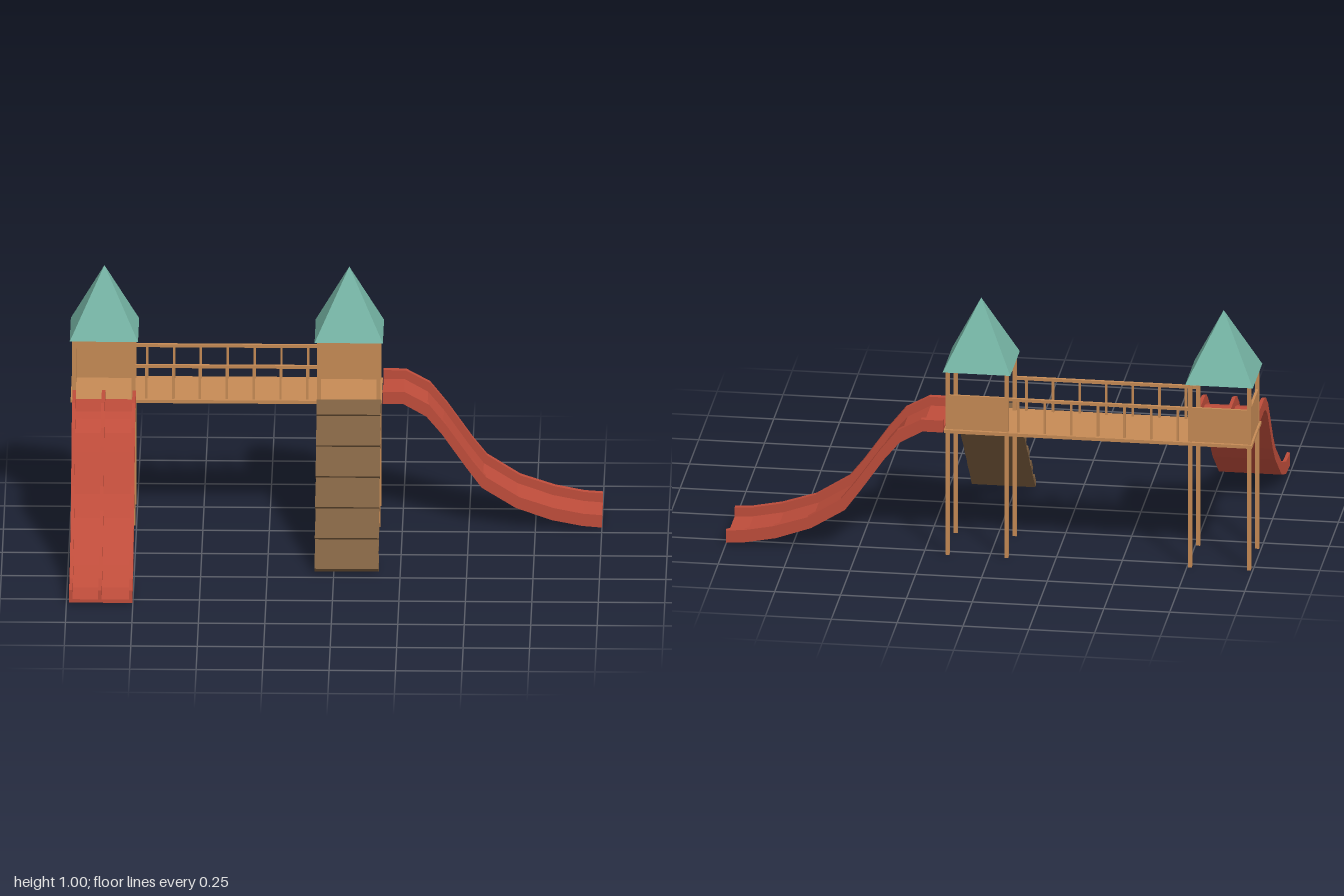
import * as THREE from 'three';

const mat = (name, color, side = THREE.FrontSide) => {
  const m = new THREE.MeshStandardMaterial({ color, side });
  m.name = name;
  return m;
};

export function createModel() {
  const wood = mat('warm wood', 0xc68b55);
  const brown = mat('dark wood', 0x7d5f40);
  const red = mat('red plastic', 0xbf4d3b);
  const green = mat('roof green', 0x76b5a5);

  const model = new THREE.Group();
  model.name = 'playground';

  const add = (parent, name, geometry, material, x = 0, y = 0, z = 0) => {
    const mesh = new THREE.Mesh(geometry, material);
    mesh.name = name;
    mesh.position.set(x, y, z);
    parent.add(mesh);
    return mesh;
  };
  const box = (parent, name, m, w, h, d, x, y, z) =>
    add(parent, name, new THREE.BoxGeometry(w, h, d), m, x, y, z);
  const group = (name, x = 0, y = 0, z = 0) => {
    const g = new THREE.Group();
    g.name = name;
    g.position.set(x, y, z);
    model.add(g);
    return g;
  };

  const towerX = [-0.873, 0.048], midZ = -0.4165;
  const floorTop = 0.508, eaves = 0.74, post = 0.112, wallTop = 0.645;

  // Continuous deck under both towers and the bridge
  box(model, 'deck', wood, 1.17, 0.013, 0.257, -0.413, floorTop - 0.0065, midZ);

  // Towers: four posts, arched front board, back wall and pyramid roof
  const arch = new THREE.Shape();
  arch.moveTo(-post, eaves);
  arch.lineTo(-post, 0.705);
  arch.quadraticCurveTo(0, 0.75, post, 0.705);
  arch.lineTo(post, eaves);
  const archGeometry = new THREE.ExtrudeGeometry(arch, { depth: 0.01, bevelEnabled: false, curveSegments: 10 });
  const roofGeometry = new THREE.ConeGeometry(0.1285 * Math.SQRT2, 1 - eaves, 4, 1).toNonIndexed();
  roofGeometry.rotateY(Math.PI / 4);
  roofGeometry.computeVertexNormals();

  towerX.forEach((x, i) => {
    const tower = group(i ? 'slideAndRampTower' : 'doubleSlideTower', x, 0, midZ);
    for (const sx of [-1, 1]) for (const sz of [-1, 1])
      box(tower, 'post', wood, 0.015, eaves, 0.015, sx * post, eaves / 2, sz * post);
    add(tower, 'archBoard', archGeometry, wood, 0, 0, post - 0.005);
    const h = wallTop - floorTop, y = floorTop + h / 2;
    box(tower, 'backWall', wood, 2 * post, h, 0.01, 0, y, -post);
    if (i === 0) box(tower, 'sideWall', wood, 0.01, h, 2 * post, -post, y, 0);
    add(tower, 'roof', roofGeometry, green, 0, (1 + eaves) / 2, 0);
  });

  // Bridge railings
  const x0 = towerX[0] + post, x1 = towerX[1] - post;
  for (const s of [-1, 1]) {
    const rail = group(s > 0 ? 'frontRailing' : 'backRailing', 0, 0, midZ + s * post);
    box(rail, 'handrail', wood, x1 - x0, 0.012, 0.012, (x0 + x1) / 2, 0.638, 0);
    for (let i = 0; i < 7; i++)
      box(rail, 'baluster', wood, 0.009, 0.13, 0.009, -0.714 + i * 0.101, 0.568, 0);
  }

  // Slide: side profiles extruded into a trough floor and upright walls
  const profile = (bottom, top, fraction) => {
    const upper = bottom.map(([a, b], i) => [
      a + (top[i][0] - a) * fraction, b + (top[i][1] - b) * fraction]);
    return new THREE.Shape([...bottom, ...upper.reverse()].map(p => new THREE.Vector2(...p)));
  };
  const slide = (name, bottom, top, width, walls, wallWidth) => {
    const g = group(name);
    const extrude = (f, depth) => new THREE.ExtrudeGeometry(profile(bottom, top, f), { depth, bevelEnabled: false });
    add(g, 'slideFloor', extrude(0.27, width - 0.004), red, 0, 0, -width / 2 + 0.002);
    for (const w of walls) add(g, 'slideWall', extrude(1, wallWidth), red, 0, 0, w - wallWidth / 2);
    return g;
  };

  // Side slide, running toward +x
  const sideSlide = slide('sideSlide',
    [[0.175, 0.497], [0.253, 0.497], [0.34, 0.447], [0.398, 0.377], [0.49, 0.243], [0.548, 0.163],
      [0.676, 0.083], [0.81, 0.035], [0.927, 0.012], [1, 0.006]],
    [[0.175, 0.545], [0.259, 0.545], [0.35, 0.495], [0.414, 0.414], [0.51, 0.275], [0.564, 0.206],
      [0.69, 0.126], [0.82, 0.083], [0.93, 0.061], [1, 0.056]],
    0.257, [-0.1175, 0.1175], 0.022);
  sideSlide.position.z = midZ;

  // Double slide with a centre divider, running toward +z
  const doubleSlide = slide('doubleSlide',
    [[-0.29, 0.496], [-0.158, 0.496], [-0.114, 0.484], [-0.067, 0.449], [-0.023, 0.39], [0.076, 0.253],
      [0.143, 0.183], [0.316, 0.054], [0.436, 0.01], [0.547, 0.004]],
    [[-0.29, 0.545], [-0.152, 0.545], [-0.105, 0.53], [-0.047, 0.484], [-0.003, 0.425], [0.085, 0.3],
      [0.152, 0.227], [0.319, 0.104], [0.436, 0.06], [0.547, 0.054]],
    0.238, [-0.1125, 0.003, 0.1125], 0.013);
  doubleSlide.rotation.y = -Math.PI / 2;
  doubleSlide.position.x = -0.871;

  // Climbing ramp: sloping board with raised cleats; local +z runs uphill
  const ramp = group('climbingRamp', towerX[1], 0.002, 0.19);
  const rise = 0.506, run = 0.478, length = Math.hypot(rise, run);
  ramp.rotation.set(-Math.atan2(rise, run), Math.PI, 0, 'YXZ');
  box(ramp, 'rampBoard', brown, 0.24, 0.012, length, 0, 0.006, length / 2);
  for (let i = 0; i < 6; i++)
    box(ramp, 'cleat', brown, 0.242, 0.025, 0.062, 0, 0.0125, 0.031 + i * 0.126);

  return model;
}
